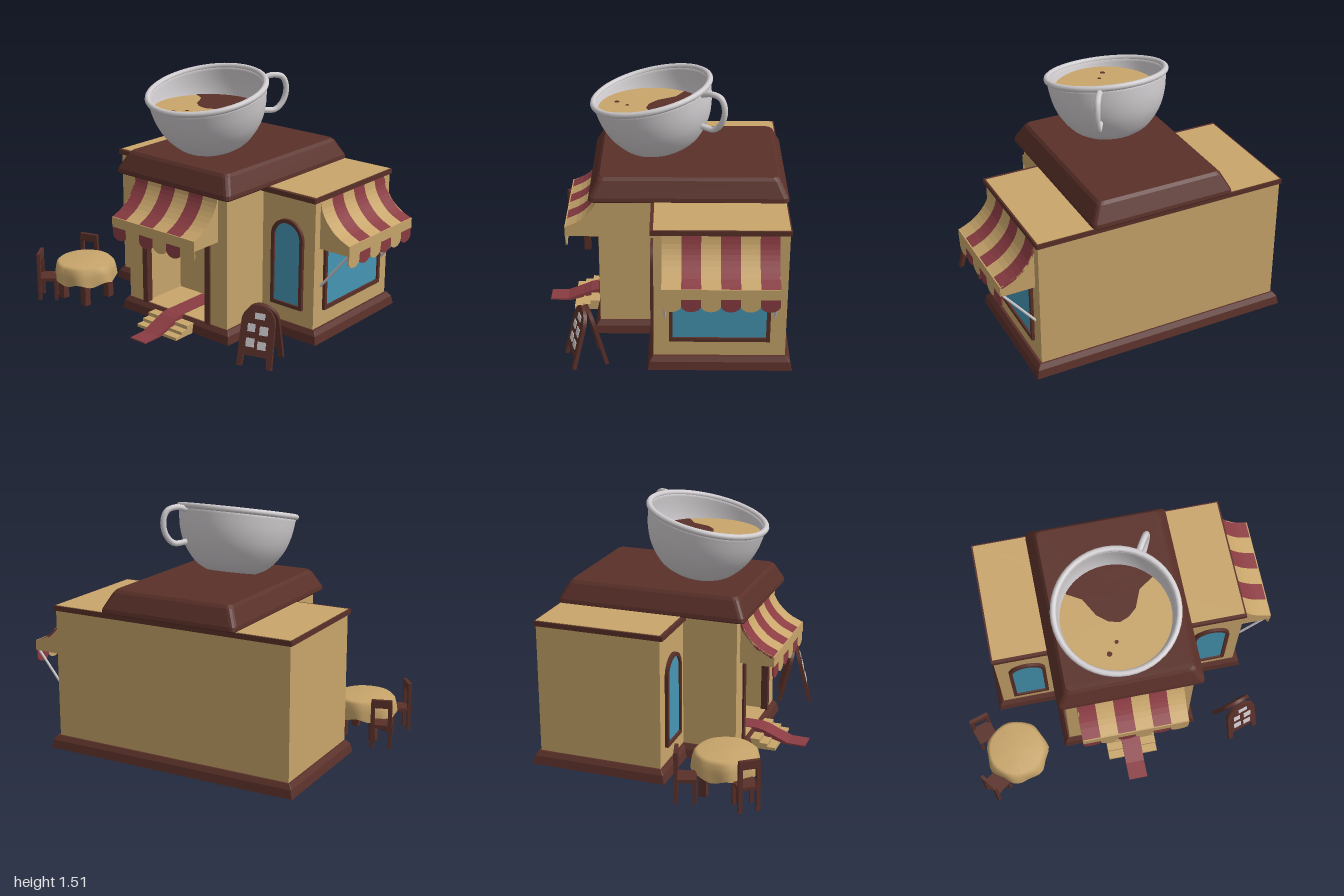
import * as THREE from 'three';

const mat = (name, color, side = THREE.FrontSide) => {
  const m = new THREE.MeshStandardMaterial({ color, side });
  m.name = name;
  return m;
};
const M = {
  tan: mat('tan', 0xc8a56b), brown: mat('brown', 0x5a3029), red: mat('red', 0x8a3c42),
  blue: mat('glass blue', 0x4596b4), white: mat('china white', 0xd0cccf),
  cloth: mat('cloth tan', 0xc8a56b, THREE.DoubleSide),
};

function add(parent, name, geo, material, x = 0, y = 0, z = 0) {
  const mesh = new THREE.Mesh(geo, material);
  mesh.name = name;
  mesh.position.set(x, y, z);
  parent.add(mesh);
  return mesh;
}
function group(parent, name, x = 0, y = 0, z = 0, yaw = 0) {
  const g = new THREE.Group();
  g.name = name;
  g.position.set(x, y, z);
  g.rotation.y = yaw;
  parent.add(g);
  return g;
}
// Box given by its limits
const box = (p, name, m, x0, x1, y0, y1, z0, z1) =>
  add(p, name, new THREE.BoxGeometry(x1 - x0, y1 - y0, z1 - z0), m, (x0 + x1) / 2, (y0 + y1) / 2, (z0 + z1) / 2);
const extrude = (shape, depth) => new THREE.ExtrudeGeometry(shape, { depth, bevelEnabled: false, curveSegments: 16 });
const polygon = pts => new THREE.Shape(pts.map(p => new THREE.Vector2(...p)));

// Block with rounded corners lofted through [height, inset] rings
function loft(x0, x1, z0, z1, r, rings) {
  const pos = [], idx = [], n = 16;
  for (const [y, inset] of rings)
    for (let i = 0; i < n; i++) {
      const q = Math.floor(i / 4), a = q * Math.PI / 2 + (i % 4) / 3 * Math.PI / 2;
      const cx = q === 0 || q === 3 ? x1 - inset - r : x0 + inset + r;
      const cz = q < 2 ? z1 - inset - r : z0 + inset + r;
      pos.push(cx + r * Math.cos(a), y, cz + r * Math.sin(a));
    }
  for (let k = 0; k < rings.length - 1; k++)
    for (let i = 0; i < n; i++) {
      const a = k * n + i, b = k * n + (i + 1) % n;
      idx.push(a, a + n, b, b, a + n, b + n);
    }
  const top = (rings.length - 1) * n;
  for (let i = 1; i < n - 1; i++) idx.push(0, i, i + 1, top, top + i + 1, top + i);
  const g = new THREE.BufferGeometry();
  g.setAttribute('position', new THREE.Float32BufferAttribute(pos, 3));
  g.setIndex(idx);
  const flat = g.toNonIndexed();
  flat.computeVertexNormals();
  return flat;
}

// Outline with a half-round top
function archShape(w, h) {
  const s = new THREE.Shape();
  s.moveTo(-w, 0); s.lineTo(w, 0); s.lineTo(w, h - w);
  s.absarc(0, h - w, w, 0, Math.PI, false);
  s.closePath();
  return s;
}

// Striped awning: x runs along the wall, z points outward, top at y = 0
function awning(parent, name, x, y, z, yaw, firstRed) {
  const g = group(parent, name, x, y, z, yaw), w = 0.655, n = 6, s = w / n, t = 0.01;
  const curve = new THREE.SplineCurve([[0, 0], [0.015, -0.06], [0.055, -0.125], [0.12, -0.185], [0.205, -0.225]]
    .map(p => new THREE.Vector2(...p))).getPoints(10).map(p => [p.x, p.y]);
  const sheet = polygon([...curve, ...curve.slice().reverse().map(([a, b]) => [a - t, b - t])]);
  const side = polygon([...curve, [0.205, -0.285], [0, -0.285]]);
  const along = (shape, d) => extrude(shape, d).rotateY(-Math.PI / 2).translate(d, 0, 0);
  const scallop = new THREE.Shape();
  scallop.moveTo(0, 0); scallop.lineTo(0, -0.045);
  scallop.absellipse(s / 2, -0.045, s / 2, 0.04, Math.PI, Math.PI * 2, false);
  scallop.lineTo(s, 0);
  for (let i = 0; i < n; i++) {
    const m = (i % 2 === 0) === firstRed ? M.red : M.tan;
    add(g, 'awningStripe', along(sheet, s), m, i * s);
    add(g, 'awningScallop', extrude(scallop, 0.008), m, i * s, -0.28, 0.196);
  }
  for (const e of [0, w - 0.006]) add(g, 'awningEnd', along(side, 0.006), M.tan, e);
  box(g, 'awningBand', M.tan, 0, w, -0.285, -0.223, 0.194, 0.207);
}

function archWindow(parent, x) {
  const g = group(parent, 'archWindow', x, 0.19, 0.06), frame = archShape(0.115, 0.545);
  const glass = archShape(0.093, 0.50);
  frame.holes.push(new THREE.Path(glass.getPoints(16).map(p => p.add(new THREE.Vector2(0, 0.022)))));
  add(g, 'windowFrame', extrude(frame, 0.02), M.brown);
  add(g, 'windowGlass', extrude(glass, 0.008), M.blue, 0, 0.022, 0);
}

function chair(parent, x, z, yaw) {
  const g = group(parent, 'chair', x, 0.01, z, yaw);
  box(g, 'chairSeat', M.brown, -0.062, 0.062, 0.13, 0.15, -0.06, 0.06);
  for (const s of [-1, 1]) {
    box(g, 'chairFrontLeg', M.brown, s * 0.052 - 0.01, s * 0.052 + 0.01, 0, 0.13, 0.04, 0.06);
    box(g, 'chairBackPost', M.brown, s * 0.052 - 0.012, s * 0.052 + 0.012, 0, 0.29, -0.065, -0.045);
  }
  box(g, 'chairBackRail', M.brown, -0.062, 0.062, 0.26, 0.31, -0.066, -0.044);
}

function rod(parent, name, a, b, r, m) {
  const path = new THREE.LineCurve3(new THREE.Vector3(...a), new THREE.Vector3(...b));
  add(parent, name, new THREE.TubeGeometry(path, 1, r, 8), m);
}

export function createModel() {
  const root = new THREE.Group();
  root.name = 'cafe';

  // Plinth with flared foot, tan underside
  const flare = [[0.01, 0], [0.06, 0.01], [0.088, 0.03]];
  add(root, 'wingPlinth', loft(-0.80, 0.835, -0.74, 0.095, 0.004, flare), M.brown);
  add(root, 'centrePlinth', loft(-0.42, 0.45, -0.7, 0.425, 0.004, flare), M.brown);
  box(root, 'underside', M.tan, -0.79, 0.825, 0.006, 0.0105, -0.73, 0.085);
  box(root, 'centreUnderside', M.tan, -0.41, 0.44, 0.006, 0.0105, 0.085, 0.415);

  // Walls as one floor plan with a recessed entrance
  const plan = polygon([[-0.76, 0.70], [-0.76, -0.06], [-0.38, -0.06], [-0.38, -0.39], [-0.24, -0.39], [-0.24, -0.08],
    [0.265, -0.08], [0.265, -0.39], [0.41, -0.39], [0.41, -0.06], [0.79, -0.06], [0.79, 0.70]]);
  add(root, 'walls', extrude(plan, 0.82).rotateX(-Math.PI / 2), M.tan, 0, 0.085, 0);
  box(root, 'lintel', M.tan, -0.24, 0.265, 0.66, 0.905, 0.30, 0.389);
  box(root, 'entranceFloor', M.tan, -0.24, 0.265, 0.085, 0.092, 0.08, 0.39);
  for (const x of [-0.24, 0.265]) box(root, 'doorPost', M.brown, x - 0.019, x + 0.019, 0.085, 0.68, 0.36, 0.402);

  // Roofs
  box(root, 'wingRoof', M.brown, -0.77, 0.80, 0.872, 0.902, -0.708, 0.08);
  add(root, 'mainRoof', loft(-0.43, 0.46, -0.72, 0.445, 0.03,
    [[0.9, 0.006], [0.908, 0], [0.93, 0.004], [1.02, 0.05], [1.037, 0.066]]), M.brown);

  // Windows
  archWindow(root, -0.57);
  archWindow(root, 0.6);
  const win = group(root, 'sideWindow');
  box(win, 'sideGlass', M.blue, 0.788, 0.796, 0.21, 0.64, -0.59, -0.045);
  for (const y of [0.188, 0.63]) box(win, 'sideFrameRail', M.brown, 0.785, 0.808, y, y + 0.024, -0.608, -0.028);
  for (const z of [-0.608, -0.05]) box(win, 'sideFrameStile', M.brown, 0.785, 0.808, 0.188, 0.65, z, z + 0.022);

  // Awnings and struts
  awning(root, 'frontAwning', -0.315, 0.905, 0.39, 0, true);
  awning(root, 'sideAwning', 0.79, 0.868, 0.012, Math.PI / 2, false);
  for (const z of [-0.004, -0.63]) rod(root, 'awningStrut', [0.79, 0.345, z], [0.985, 0.585, z], 0.008, M.white);

  // Steps and carpet
  [[0.068, 0.47], [0.045, 0.52], [0.025, 0.57]].forEach(([y, z]) =>
    box(root, 'step', M.tan, -0.15, 0.167, 0.007, y, 0.40, z));
  const carpet = polygon([[0.09, 0.09], [0.425, 0.09], [0.47, 0.08], [0.52, 0.058], [0.57, 0.038], [0.62, 0.018],
    [0.73, 0.016], [0.73, 0.008], [0.6, 0.008], [0.42, 0.06], [0.09, 0.08]].map(([a, b]) => [a, b + 0.006]));
  add(root, 'carpet', extrude(carpet, 0.12).rotateY(-Math.PI / 2), M.red, 0.07, 0, 0);

  // Tilted cup on the roof
  const cup = group(root, 'cup', -0.01, 1.415, 0.085);
  cup.rotation.x = 0.22;
  const outer = new THREE.SplineCurve([[0.15, -0.368], [0.225, -0.325], [0.30, -0.23], [0.34, -0.125], [0.357, -0.01]]
    .map(p => new THREE.Vector2(...p))).getPoints(16);
  const inner = outer.map(p => new THREE.Vector2(p.x - 0.018, p.y + 0.012)).reverse();
  add(cup, 'cupBowl', new THREE.LatheGeometry([new THREE.Vector2(0, -0.368), ...outer, ...inner,
    new THREE.Vector2(0, -0.356)], 48), M.white);
  add(cup, 'cupRim', new THREE.TorusGeometry(0.355, 0.018, 10, 48).rotateX(Math.PI / 2), M.white);
  const handle = [[-0.21, 1.458], [-0.265, 1.475], [-0.32, 1.46], [-0.342, 1.40], [-0.33, 1.32], [-0.285, 1.262], [-0.215, 1.262]]
    .map(([z, y]) => new THREE.Vector3(-0.01 + (0.085 - z) * 0.62, y, z));
  add(root, 'cupHandle', new THREE.TubeGeometry(new THREE.CatmullRomCurve3(handle), 32, 0.018, 10), M.white);

  // Coffee with a darker swirl
  const coffee = group(root, 'coffee', -0.01, 1.305, 0.08);
  add(coffee, 'milkFoam', new THREE.CircleGeometry(0.325, 40).rotateX(-Math.PI / 2), M.tan);
  const swirl = polygon([[-0.25, 0.187], [-0.17, 0.14], [-0.11, 0.03], [-0.05, -0.02], [0.015, -0.037],
    [0.07, -0.015], [0.12, 0.03], [0.165, 0.14], [0.255, 0.2]]);
  swirl.absarc(0, 0, 0.323, 0.665, 2.5, false);
  add(coffee, 'coffeeSwirl', new THREE.ShapeGeometry(swirl).rotateX(-Math.PI / 2), M.brown, 0, 0.004, 0);
  for (const [x, z, r] of [[-0.027, 0.15, 0.012], [-0.08, 0.214, 0.016]])
    add(coffee, 'coffeeDrop', new THREE.CircleGeometry(r, 10).rotateX(-Math.PI / 2), M.brown, x, 0.004, z);

  // Table with draped cloth
  const table = group(root, 'table', -0.73, 0, 0.445);
  const cloth = new THREE.LatheGeometry([[0.195, 0.145], [0.192, 0.2], [0.183, 0.245], [0.165, 0.262], [0, 0.265]]
    .map(p => new THREE.Vector2(...p)), 40);
  const p = cloth.attributes.position;
  for (let i = 0; i < p.count; i++) {
    const a = Math.atan2(p.getZ(i), p.getX(i)), drop = Math.max(0, 0.265 - p.getY(i)) / 0.12;
    const k = 1 + 0.05 * drop * Math.cos(7 * a);
    p.setXYZ(i, p.getX(i) * k, p.getY(i) + 0.012 * drop * Math.sin(7 * a + 1), p.getZ(i) * k);
  }
  cloth.computeVertexNormals();
  add(table, 'tablecloth', cloth, M.cloth);
  for (const x of [-0.1, 0.1]) for (const z of [-0.1, 0.1])
    box(table, 'tableLeg', M.brown, x - 0.022, x + 0.022, 0.005, 0.24, z - 0.022, z + 0.022);
  chair(root, -0.915, 0.27, 0.3);
  chair(root, -0.89, 0.61, 2.21);

  // Folding menu board with notes
  const sign = group(root, 'menuBoard', 0.715, 0.355, 0.455, 0.31);
  const board = new THREE.Shape();
  board.moveTo(-0.105, -0.355); board.lineTo(-0.075, -0.355); board.lineTo(-0.07, -0.29); board.lineTo(0.07, -0.29);
  board.lineTo(0.075, -0.355); board.lineTo(0.105, -0.355); board.lineTo(0.1, -0.1);
  board.absarc(0, -0.1, 0.1, 0, Math.PI, false);
  for (const s of [0, 1]) {
    const leaf = group(sign, 'boardLeaf', 0, 0, 0, s * Math.PI);
    const tilt = group(leaf, 'boardTilt');
    tilt.rotation.x = -0.25;
    add(tilt, 'boardPanel', extrude(board, 0.022), M.brown);
    if (s === 0) for (const [x, y, w, h] of [[0.01, -0.06, 0.06, 0.035], [-0.035, -0.13, 0.045, 0.045],
      [0.04, -0.14, 0.05, 0.05], [-0.035, -0.215, 0.05, 0.05], [0.035, -0.225, 0.05, 0.045]])
      box(tilt, 'note', M.white, x - w / 2, x + w / 2, y - h / 2, y + h / 2, 0.021, 0.026);
  }
  return root;
}
